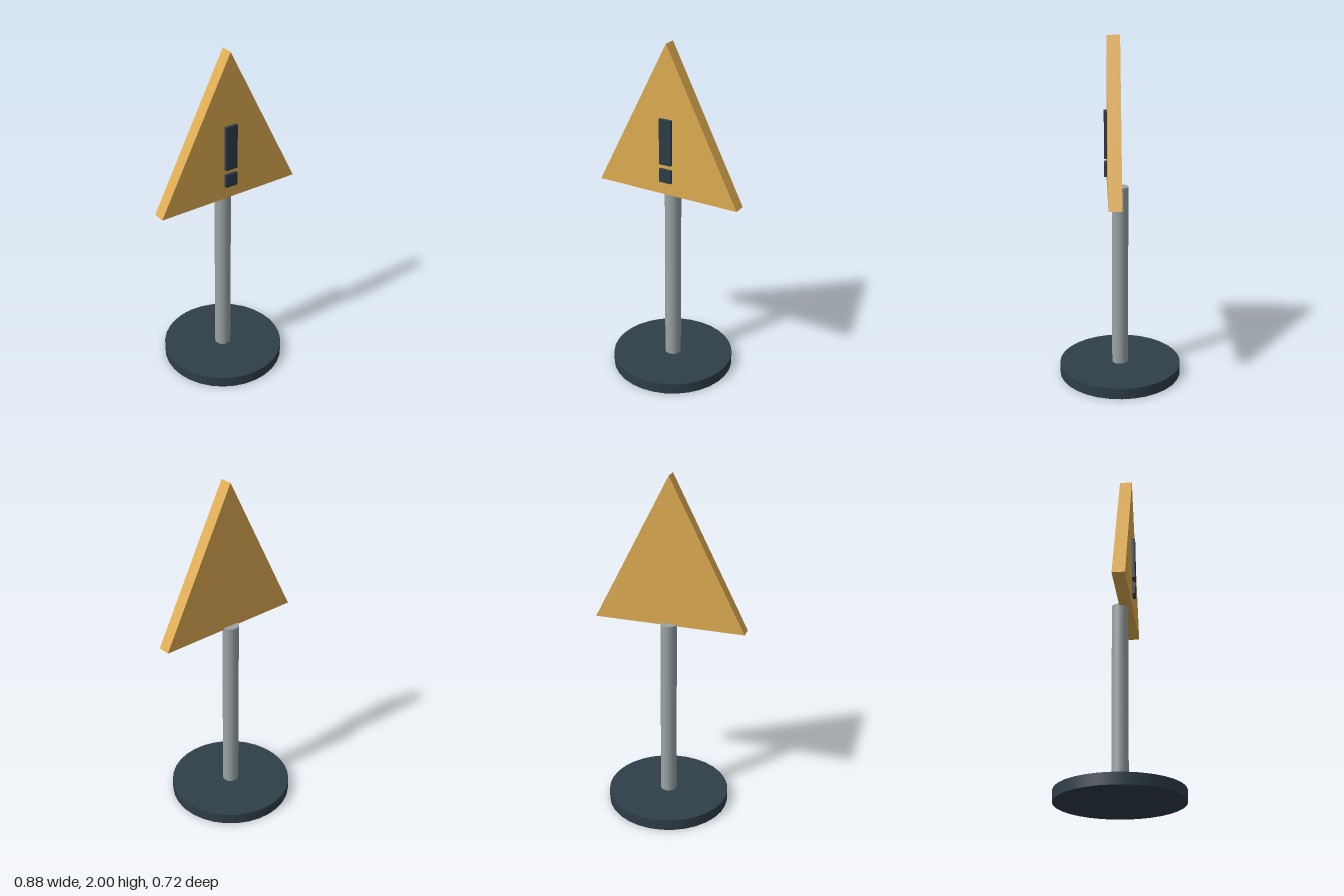
import * as THREE from 'three';

export function createModel() {
  const group = new THREE.Group();
  const material = (name, color) => {
    const m = new THREE.MeshStandardMaterial({ color });
    m.name = name;
    return m;
  };
  const slate = material('slate', 0x2f3e49);
  const grey = material('grey', 0x9aa3a4);
  const amber = material('amber', 0xe0ad52);

  const add = (name, geometry, mat, x, y, z) => {
    const mesh = new THREE.Mesh(geometry, mat);
    mesh.name = name;
    mesh.position.set(x, y, z);
    group.add(mesh);
  };

  // Round foot and post
  add('base', new THREE.CylinderGeometry(0.358, 0.358, 0.065, 32), slate, 0, 0.0325, 0);
  add('post', new THREE.CylinderGeometry(0.047, 0.047, 1.09, 24), grey, 0, 0.605, 0);

  // Triangular plate mounted in front of the post axis
  const triangle = new THREE.Shape([
    new THREE.Vector2(-0.44, 1.14),
    new THREE.Vector2(0.44, 1.14),
    new THREE.Vector2(0, 2),
  ]);
  add('signPlate', new THREE.ExtrudeGeometry(triangle, { depth: 0.073, bevelEnabled: false }), amber, 0, 0, 0);

  // Raised warning mark: upright bar and dot
  add('markBar', new THREE.BoxGeometry(0.073, 0.263, 0.02), slate, 0, 1.453, 0.08);
  add('markDot', new THREE.BoxGeometry(0.073, 0.078, 0.02), slate, 0, 1.255, 0.08);

  return group;
}
